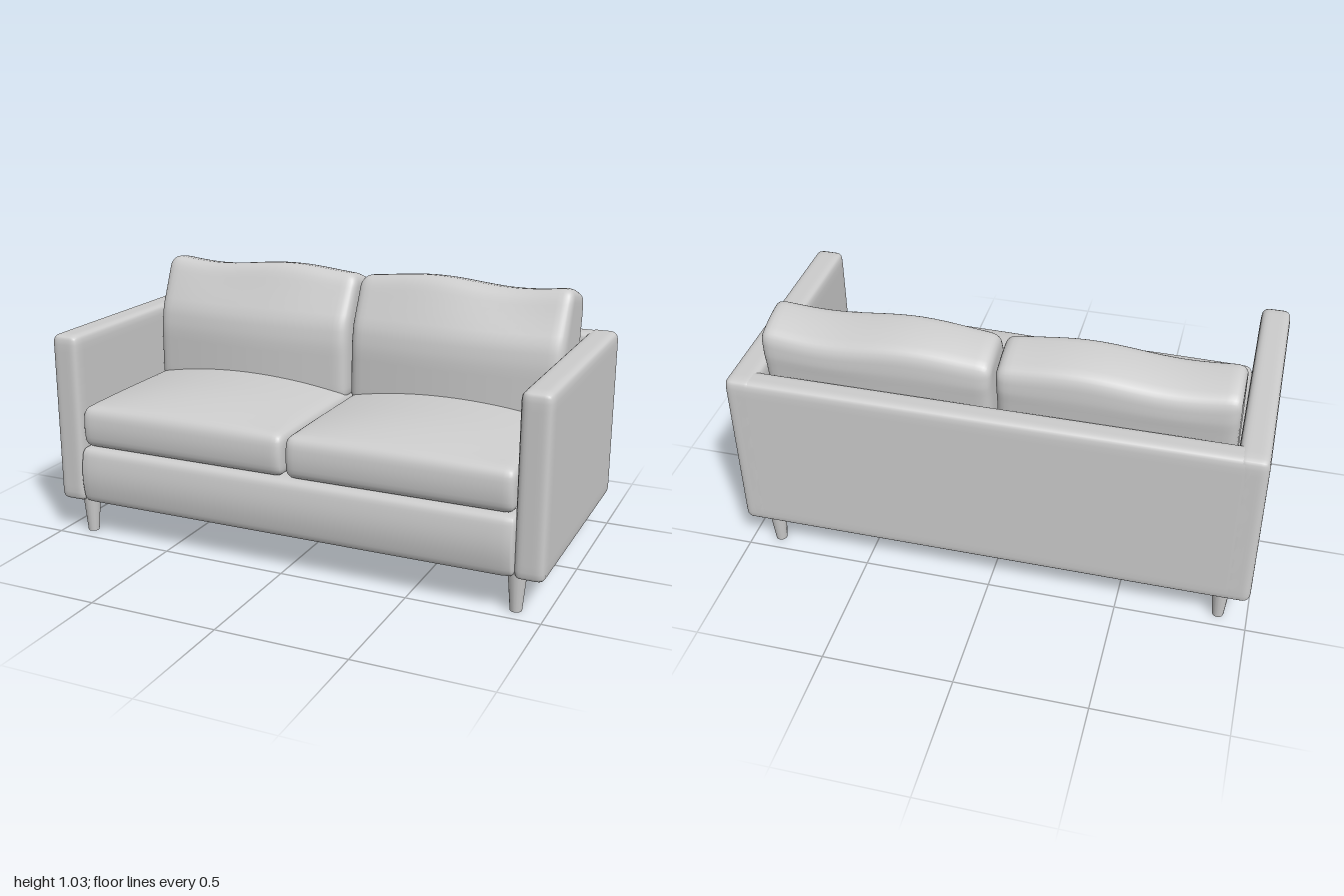
import * as THREE from 'three';
import { mergeVertices } from 'three/addons/utils/BufferGeometryUtils.js';

const { lerp, clamp, smoothstep } = THREE.MathUtils;

// Rounded block between two corners, finely divided near its edges; deform(p) may move each vertex
function softBox(min, max, r, seg, deform) {
  const geo = new THREE.BoxGeometry(2, 2, 2, ...seg);
  geo.deleteAttribute('uv');
  geo.deleteAttribute('normal');
  const merged = mergeVertices(geo);
  const lo = new THREE.Vector3(...min), hi = new THREE.Vector3(...max);
  const mid = lo.clone().add(hi).multiplyScalar(0.5);
  const half = hi.clone().sub(lo).multiplyScalar(0.5);
  const inner = half.clone().subScalar(r);
  const pos = merged.attributes.position;
  const p = new THREE.Vector3(), core = new THREE.Vector3();
  for (let i = 0; i < pos.count; i++) {
    p.fromBufferAttribute(pos, i);
    for (const a of ['x', 'y', 'z']) {
      p[a] = half[a] * Math.sin(p[a] * Math.PI / 2);
      core[a] = clamp(p[a], -inner[a], inner[a]);
    }
    p.sub(core).normalize().multiplyScalar(r).add(core).add(mid);
    if (deform) deform(p);
    pos.setXYZ(i, p.x, p.y, p.z);
  }
  merged.computeVertexNormals();
  return merged;
}

// Piecewise-linear lookup in [input, output] pairs
function lookup(pairs, v) {
  for (let i = 1; i < pairs.length; i++) {
    const [a, fa] = pairs[i - 1], [b, fb] = pairs[i];
    if (v <= b) return lerp(fa, fb, clamp((v - a) / (b - a), 0, 1));
  }
  return pairs[pairs.length - 1][1];
}

export function createModel() {
  const sofa = new THREE.Group();
  sofa.name = 'sofa';
  const fabric = new THREE.MeshStandardMaterial({ color: 0xcccccc });
  fabric.name = 'grey fabric';

  const add = (name, geo) => {
    const mesh = new THREE.Mesh(geo, fabric);
    mesh.name = name;
    sofa.add(mesh);
    return mesh;
  };

  // Frame: back panel, base with a padded front rail, and two arms
  add('backPanel', softBox([-1, 0.135, -0.5], [1, 0.815, -0.4], 0.03, [20, 20, 14]));
  add('base', softBox([-0.89, 0.137, -0.45], [0.89, 0.37, 0.485], 0.03, [20, 20, 20], (p) => {
    if (p.z > 0.3) p.z += 0.018 * Math.sin(Math.PI * clamp((p.y - 0.137) / 0.233, 0, 1));
  }));
  for (const s of [-1, 1]) {
    const x = [s * 0.885, s].sort((a, b) => a - b);
    add(s > 0 ? 'leftArm' : 'rightArm',
      softBox([x[0], 0.135, -0.5], [x[1], 0.817, 0.485], 0.03, [14, 20, 20]));
  }

  for (const s of [-1, 1]) {
    const side = s > 0 ? 'left' : 'right';
    const xMid = s * 0.443;

    // Seat cushion with a crowned top and slightly full front
    add(side + 'SeatCushion',
      softBox([xMid - 0.438, 0.368, -0.4], [xMid + 0.438, 0.535, 0.475], 0.035, [28, 14, 28], (p) => {
        const u = (p.x - xMid) / 0.438, v = (p.z - 0.04) / 0.436;
        const h = (p.y - 0.368) / 0.167;
        p.y += 0.055 * h * (1 - u * u) * (1 - Math.pow(Math.abs(v), 3));
        if (v > 0) p.z += 0.012 * v * Math.sin(Math.PI * clamp(h, 0, 1));
      }));

    // Leaning back cushion: full below, narrow and rounded at the top
    const front = [[0.5, -0.1], [0.74, -0.1], [0.82, -0.115], [0.9, -0.155], [1.02, -0.215]];
    const back = [[0.5, -0.36], [0.8, -0.395], [0.9, -0.405], [1.02, -0.4]];
    add(side + 'BackCushion',
      softBox([xMid - 0.435, 0.5, -0.15], [xMid + 0.435, 1.015, 0.15], 0.045, [30, 24, 16], (p) => {
        const u = (p.x - xMid) / 0.435, t = (p.z + 0.15) / 0.3;
        const top = smoothstep(p.y, 0.8, 1.015);
        const belly = Math.cos(u * Math.PI / 2);
        p.z = lerp(lookup(back, p.y) - 0.01 * belly, lookup(front, p.y) + 0.028 * belly * (1 - 0.6 * top), t);
        p.y += top * (0.012 * Math.cos(u * 4 + s * 1.2) - 0.05 * Math.pow(1 - t, 2) + 0.004);
      }));
  }

  // Tapered legs
  const legGeo = new THREE.CylinderGeometry(0.035, 0.022, 0.15, 16);
  for (const x of [-0.89, 0.89]) {
    for (const z of [-0.435, 0.428]) {
      const name = (z > 0 ? 'front' : 'back') + (x > 0 ? 'Left' : 'Right') + 'Leg';
      add(name, legGeo).position.set(x, 0.075, z);
    }
  }
  return sofa;
}
